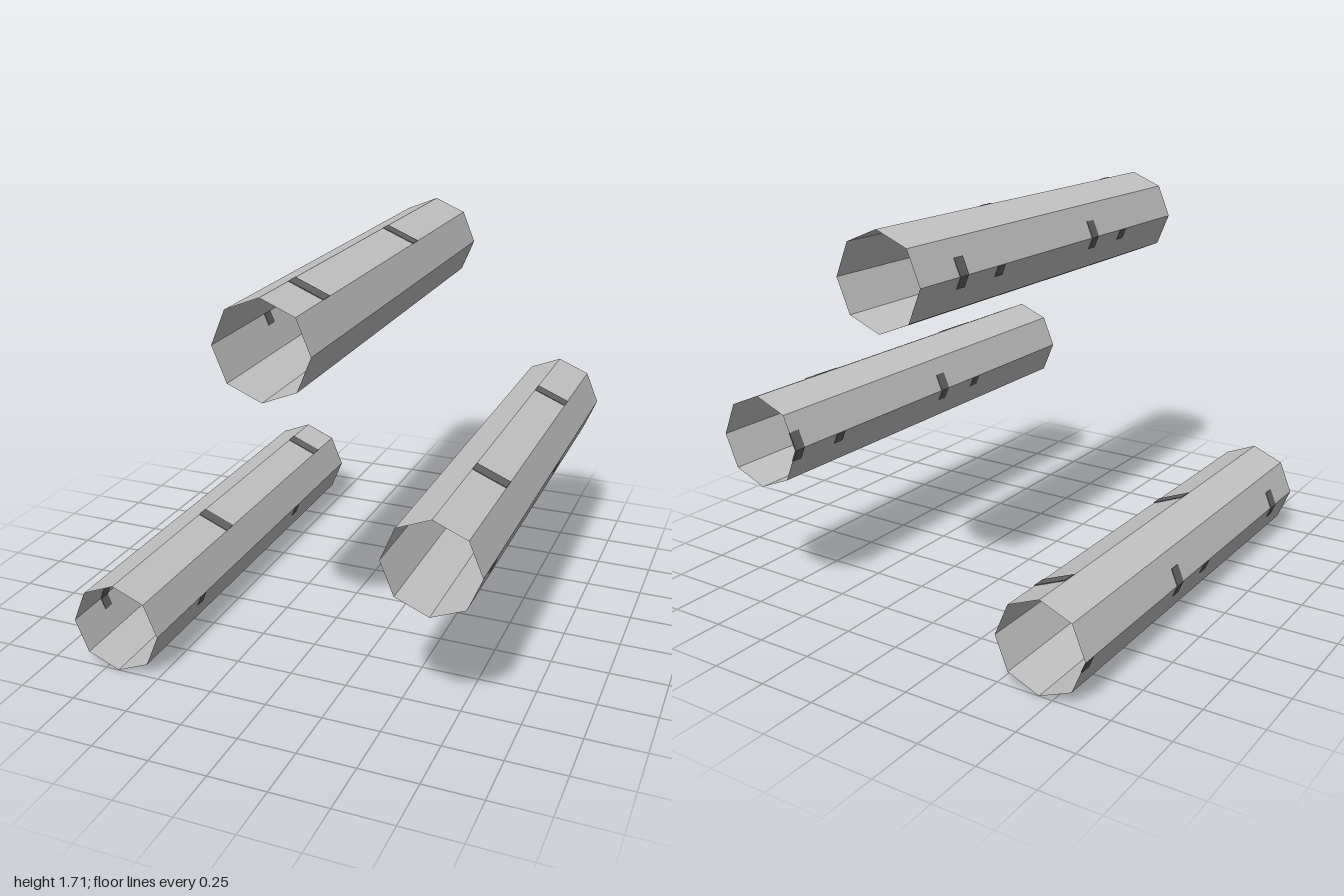
import * as THREE from 'three';

const RADIUS = 0.2;
const LENGTH = 2;

export function createModel() {
  const group = new THREE.Group();
  const shell = new THREE.MeshStandardMaterial({ color: 0xc4c4c4, flatShading: true, side: THREE.DoubleSide });
  shell.name = 'light grey';
  const dark = new THREE.MeshStandardMaterial({ color: 0x646464, flatShading: true });
  dark.name = 'dark grey';

  // corner of the octagon, counted in eighths of a turn from +x
  const corner = (i) => new THREE.Vector2(Math.cos(i * Math.PI / 4), Math.sin(i * Math.PI / 4)).multiplyScalar(RADIUS);

  // thin plate on one facet, from share t0 to t1 of its width, showing inside and outside
  function addMark(tube, name, facet, t0, t1, z, width) {
    const z0 = Math.max(z - width / 2, -LENGTH / 2);
    const z1 = Math.min(z + width / 2, LENGTH / 2);
    const a = corner(facet).lerp(corner(facet + 1), t0);
    const b = corner(facet).lerp(corner(facet + 1), t1);
    const mark = new THREE.Mesh(new THREE.BoxGeometry(a.distanceTo(b), 0.006, z1 - z0), dark);
    mark.name = name;
    mark.position.set((a.x + b.x) / 2, (a.y + b.y) / 2, (z0 + z1) / 2);
    mark.rotation.z = Math.atan2(b.y - a.y, b.x - a.x);
    tube.add(mark);
  }

  // open eight-sided tubes; start shifts the marks along z
  const tubes = [
    { name: 'lowTube', x: -0.69, y: 0.2, start: 0.22, rightMark: 0.6 },
    { name: 'topTube', x: 0.025, y: 1.505, start: 0.72 },
    { name: 'middleTube', x: 0.69, y: 0.75, start: 0.47, rightMark: 0.84 },
  ];
  // wraps a z position into the one-unit repeat of the marks
  const wrap = (z) => ((z % 1) + 1) % 1;

  for (const { name, x, y, start, rightMark } of tubes) {
    const tube = new THREE.Group();
    tube.name = name;
    tube.position.set(x, y, 0);
    const wall = new THREE.Mesh(
      new THREE.CylinderGeometry(RADIUS, RADIUS, LENGTH, 8, 1, true).rotateX(Math.PI / 2), shell);
    wall.name = 'tubeWall';
    tube.add(wall);

    // every mark repeats once in the back half and once in the front half
    for (const half of [-1, 0]) {
      addMark(tube, 'upperMark', 1, 0, 1, wrap(start) + half, 0.062);
      const side = wrap(start + 0.555) + half;
      addMark(tube, 'sideMark', 3, 0.5, 1, side, 0.056);
      addMark(tube, 'sideMarkLower', 4, 0, 0.35, side, 0.05);
      addMark(tube, 'smallMark', 4, 0, 0.32, wrap(start + 0.81) + half, 0.05);
      if (rightMark) addMark(tube, 'rightMark', 7, 0.68, 1, rightMark + half, 0.045);
    }
    group.add(tube);
  }
  return group;
}
